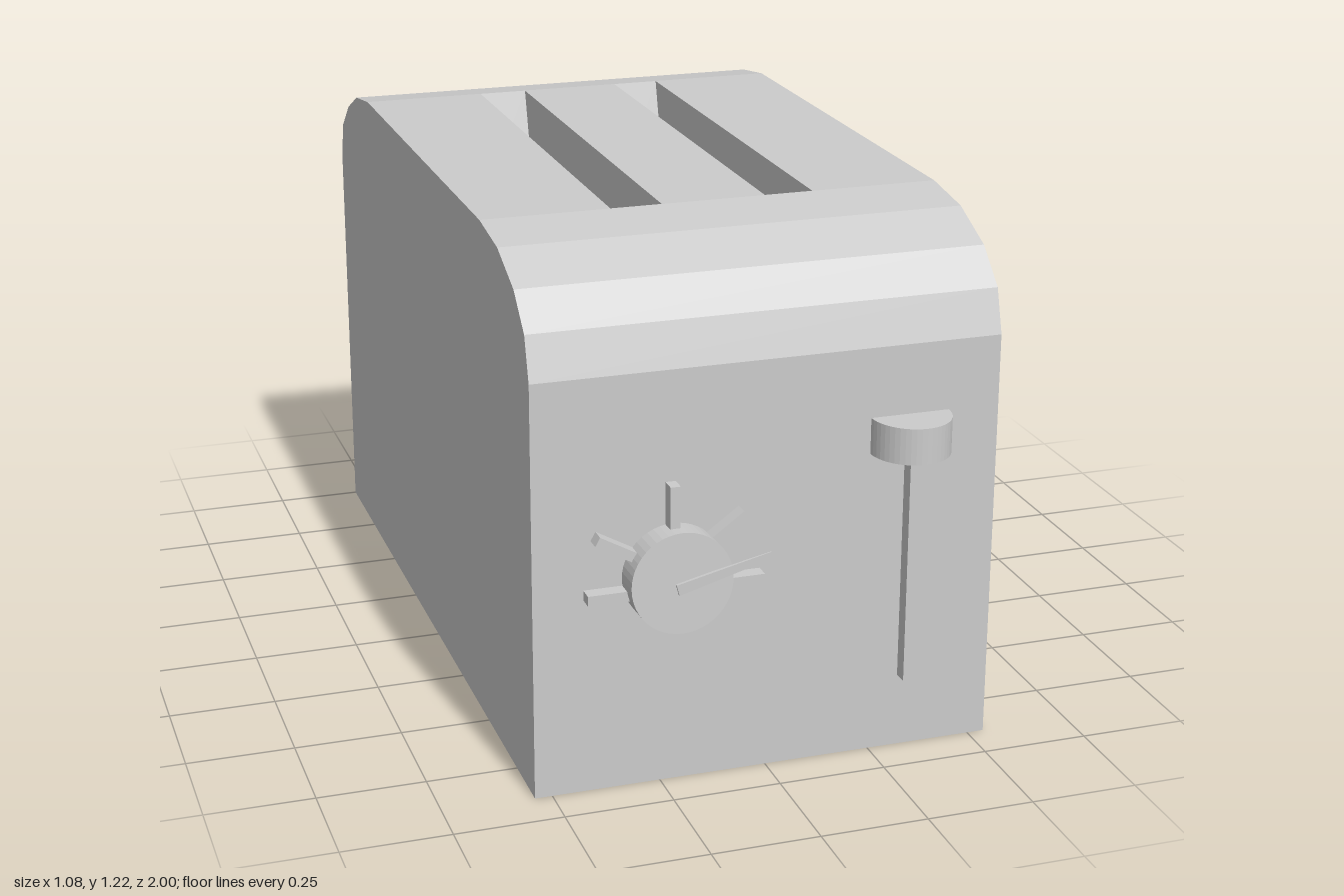
import * as THREE from 'three';

const material = new THREE.MeshStandardMaterial({ color: 0xcccccc, flatShading: true });
const W = 0.54, TOP = 1.22;

function add(parent, name, geometry) {
  const mesh = new THREE.Mesh(geometry, material);
  mesh.name = name;
  parent.add(mesh);
  return mesh;
}

// Geometry from four-cornered faces, corners counter-clockwise from outside
function quads(list) {
  const p = [];
  for (const [a, b, c, d] of list) p.push(...a, ...b, ...c, ...a, ...c, ...d);
  const g = new THREE.BufferGeometry();
  g.setAttribute('position', new THREE.Float32BufferAttribute(p, 3));
  g.computeVertexNormals();
  return g;
}

function rectangle(Type, x0, x1, y0, y1) {
  const s = new Type();
  s.moveTo(x0, y0);
  s.lineTo(x1, y0);
  s.lineTo(x1, y1);
  s.lineTo(x0, y1);
  s.closePath();
  return s;
}

function makeBody() {
  const body = new THREE.Group();
  body.name = 'body';

  // Side outline as [z, y], front bottom to back bottom
  const outline = [
    [0.9, 0], [0.9, 0.97], [0.87, 1.07], [0.79, 1.145], [0.66, 1.2], [0.51, TOP],
    [-0.64, TOP], [-0.78, 1.2], [-0.89, 1.15], [-0.975, 1.08], [-1, 0.985], [-1, 0],
  ];

  // Wrap of front, rounded shoulders, back and base; the flat top is separate
  const wrap = [];
  outline.forEach(([z, y], i) => {
    if (i === 5) return;
    const [z2, y2] = outline[(i + 1) % outline.length];
    wrap.push([[-W, y, z], [W, y, z], [W, y2, z2], [-W, y2, z2]]);
  });
  add(body, 'shell', quads(wrap));

  // Flat sides
  for (const s of [1, -1]) {
    const shape = new THREE.Shape(outline.map(([z, y]) => new THREE.Vector2(-s * z, y)));
    const side = add(body, s > 0 ? 'leftSide' : 'rightSide', new THREE.ShapeGeometry(shape));
    side.rotation.y = s * Math.PI / 2;
    side.position.x = s * W;
  }

  // Top panel with two bread slots
  const slots = [[-0.24, -0.12], [0.125, 0.24]];
  const zBack = -0.64, zFront = 0.51, inset = 0.068, floorY = TOP - 0.24;
  const panel = rectangle(THREE.Shape, -W, W, -zFront, -zBack);
  // A hair of margin keeps the openings inside the panel edge
  const m = 0.001;
  for (const [x0, x1] of slots) panel.holes.push(rectangle(THREE.Path, x0, x1, -zFront + m, -zBack - m));
  const top = add(body, 'topPanel', new THREE.ShapeGeometry(panel));
  top.rotation.x = -Math.PI / 2;
  top.position.y = TOP;

  // Slot wells with sloping ends
  for (const [x0, x1] of slots) {
    const rim = [[x0, TOP, zFront - m], [x1, TOP, zFront - m], [x1, TOP, zBack + m], [x0, TOP, zBack + m]];
    const base = [
      [x0, floorY, zFront - inset], [x1, floorY, zFront - inset],
      [x1, floorY, zBack + inset], [x0, floorY, zBack + inset],
    ];
    const faces = [base];
    for (let i = 0; i < 4; i++) {
      const j = (i + 1) % 4;
      faces.push([rim[i], rim[j], base[j], base[i]]);
    }
    add(body, 'breadSlot', quads(faces));
  }
  return body;
}

function makeLever() {
  const lever = new THREE.Group();
  lever.name = 'lever';
  add(lever, 'leverTrack', new THREE.BoxGeometry(0.033, 0.56, 0.035)).position.set(0.335, 0.455, 0.9175);

  // Half-oval handle
  const shape = new THREE.Shape();
  shape.absellipse(0, 0, 0.092, 0.1, Math.PI, 2 * Math.PI, false);
  shape.closePath();
  const g = new THREE.ExtrudeGeometry(shape, { depth: 0.084, bevelEnabled: false, curveSegments: 12 });
  g.rotateX(-Math.PI / 2);
  add(lever, 'leverHandle', g).position.set(0.328, 0.724, 0.9);
  return lever;
}

function makeDial() {
  const dial = new THREE.Group();
  dial.name = 'dial';

  // Slightly tilted knob
  const knob = new THREE.CylinderGeometry(0.116, 0.116, 0.07, 48);
  knob.rotateX(Math.PI / 2 - 0.04);
  add(dial, 'dialKnob', knob).position.set(-0.222, 0.503, 0.936);

  // Setting marks: centre x, y, length, angle
  const marks = [
    [-0.37, 0.474, 0.11, 0], [-0.075, 0.474, 0.11, 0], [-0.227, 0.66, 0.11, Math.PI / 2],
    [-0.35, 0.58, 0.12, -0.51], [-0.108, 0.598, 0.11, 0.63],
  ];
  for (const [x, y, length, angle] of marks) {
    const mark = add(dial, 'settingMark', new THREE.BoxGeometry(length, 0.023, 0.035));
    mark.position.set(x, y, 0.9175);
    mark.rotation.z = angle;
  }

  // Tapered pointer lifting towards its tip
  const shape = new THREE.Shape([
    new THREE.Vector2(0, -0.013), new THREE.Vector2(0.222, -0.008),
    new THREE.Vector2(0.222, 0.008), new THREE.Vector2(0, 0.013),
  ]);
  const g = new THREE.ExtrudeGeometry(shape, { depth: 0.012, bevelEnabled: false });
  // Thin the outer end to an edge
  const p = g.attributes.position;
  for (let i = 0; i < p.count; i++) if (p.getX(i) > 0.1) p.setZ(i, 0.01 + p.getZ(i) * 0.2);
  g.rotateZ(0.255);
  add(dial, 'pointer', g).position.set(-0.235, 0.492, 0.966);
  return dial;
}

export function createModel() {
  const model = new THREE.Group();
  model.name = 'toaster';
  model.add(makeBody(), makeLever(), makeDial());
  return model;
}
